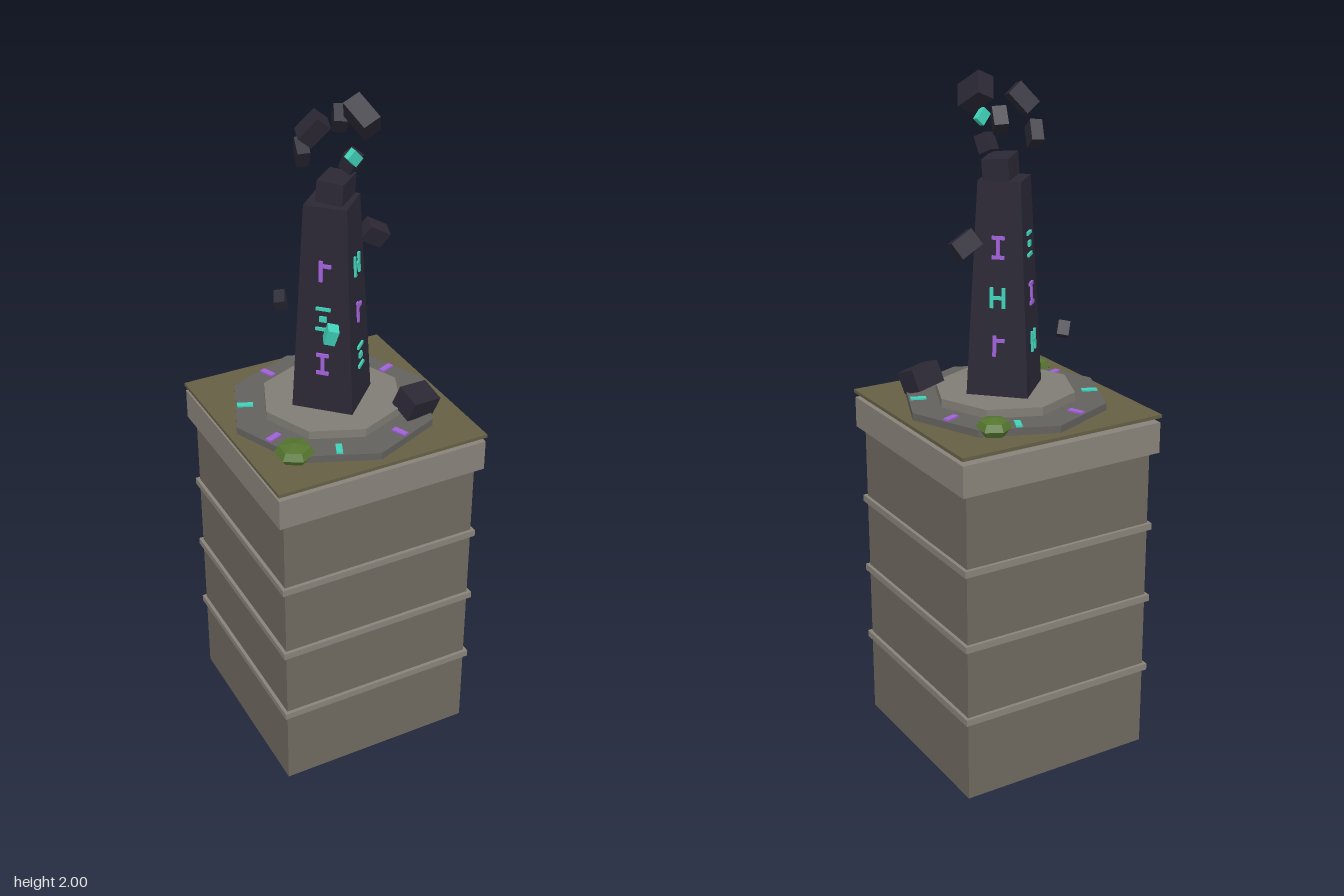
import * as THREE from 'three';

const mat = (color) => new THREE.MeshStandardMaterial({ color, flatShading: true });
const M = {
  wall: mat(0x6e685f), trim: mat(0x88837a), moss: mat(0x655f45),
  step: mat(0x62615d), dais: mat(0x7f7d74), dark: mat(0x2b2835),
  teal: mat(0x40d0b8), purple: mat(0xa060d8), leaf: mat(0x55752f),
};

function add(parent, name, geometry, material, x = 0, y = 0, z = 0) {
  const mesh = new THREE.Mesh(geometry, material);
  mesh.name = name;
  mesh.position.set(x, y, z);
  parent.add(mesh);
  return mesh;
}
const box = (w, h, d) => new THREE.BoxGeometry(w, h, d);

// Each rune is a colour and a list of strokes: x, y, width, height
const RUNES = {
  H: ['teal', [[-0.017, 0, 0.01, 0.058], [0.017, 0, 0.01, 0.058], [0, 0, 0.034, 0.01]]],
  R: ['purple', [[-0.008, 0, 0.01, 0.06], [0.005, 0.016, 0.032, 0.01]]],
  E: ['teal', [[0, 0.03, 0.042, 0.009], [0, 0, 0.02, 0.016], [0, -0.03, 0.042, 0.009]]],
  I: ['purple', [[0, 0, 0.01, 0.055], [0, 0.027, 0.036, 0.01], [0, -0.027, 0.036, 0.01]]],
};

function makeRune(key) {
  const rune = new THREE.Group();
  rune.name = 'rune';
  const [color, strokes] = RUNES[key];
  for (const [x, y, w, h] of strokes) add(rune, 'runeStroke', box(w, h, 0.008), M[color], x, y, 0);
  return rune;
}

function makeObelisk() {
  const g = new THREE.Group();
  g.name = 'obelisk';
  const bottom = 1.105, height = 0.605, r0 = 0.125, r1 = 0.085;
  add(g, 'obeliskShaft', new THREE.CylinderGeometry(r1, r0, height, 4), M.dark, 0, bottom + height / 2, 0);
  const tilt = Math.atan((r0 - r1) * Math.SQRT1_2 / height);

  // Three runes down each slanted face, shifted by one from face to face
  const order = ['H', 'R', 'E', 'I'];
  for (let k = 0; k < 4; k++) {
    const face = new THREE.Group();
    face.name = 'runeFace';
    face.rotation.y = Math.PI / 4 - k * Math.PI / 2;
    [1.53, 1.39, 1.253].forEach((y, i) => {
      const rune = makeRune(order[(k + i) % 4]);
      const r = r0 + (r1 - r0) * (y - bottom) / height;
      rune.position.set(0, y, r * Math.SQRT1_2 + 0.002);
      rune.rotation.x = -tilt;
      face.add(rune);
    });
    g.add(face);
  }
  return g;
}

// Low six-sided shrub
function makeShrub(r, x, z) {
  const profile = [[0, 1.06], [0.75, 1.062], [1, 1.08], [0.78, 1.1], [0, 1.11]]
    .map(([k, y]) => new THREE.Vector2(k * r, y));
  const shrub = new THREE.Mesh(new THREE.LatheGeometry(profile, 6), M.leaf);
  shrub.name = 'shrub';
  shrub.position.set(x, 0, z);
  return shrub;
}

export function createModel() {
  const model = new THREE.Group();

  // Square pedestal with bands and a cap
  add(model, 'pedestal', box(0.6, 0.95, 0.6), M.wall, 0, 0.475, 0);
  for (const y of [0.255, 0.485, 0.715]) add(model, 'band', box(0.62, 0.02, 0.62), M.trim, 0, y, 0);
  add(model, 'cap', box(0.64, 0.092, 0.64), M.trim, 0, 0.991, 0);
  add(model, 'mossPlate', box(0.645, 0.01, 0.645), M.moss, 0, 1.056, 0);

  // Octagonal steps
  add(model, 'lowerStep', new THREE.CylinderGeometry(0.298, 0.298, 0.024, 8), M.step, 0, 1.07, 0);
  add(model, 'upperStep', new THREE.CylinderGeometry(0.206, 0.206, 0.028, 8), M.dais, 0, 1.093, 0);

  // Radial inlays on the lower step
  for (let i = 0; i < 8; i++) {
    const a = (i + 0.5) * Math.PI / 4;
    const inlay = add(model, 'inlay', box(0.018, 0.008, 0.045), i % 2 ? M.teal : M.purple,
      0.248 * Math.sin(a), 1.083, 0.248 * Math.cos(a));
    inlay.rotation.y = a;
  }

  model.add(makeObelisk());
  model.add(makeShrub(0.051, 0.16, -0.21), makeShrub(0.057, -0.207, 0.183));

  // Broken tip, floating fragments and glowing chips: position, size, rotation
  const pieces = [
    ['brokenTip', 'dark', [0.012, 1.742, 0], [0.105, 0.06, 0.075], [0.08, 0.75, -0.1]],
    ['fallenBlock', 'dark', [0.185, 1.122, 0.16], [0.095, 0.065, 0.075], [0.35, 0.15, -0.2]],
    ['fragment', 'dark', [-0.057, 1.325, -0.212], [0.032, 0.04, 0.045], [0.5, -0.4, 0.4]],
    ['fragment', 'dark', [0.078, 1.885, -0.105], [0.038, 0.055, 0.055], [0.7, -0.35, 0.2]],
    ['fragment', 'dark', [0.16, 1.555, -0.06], [0.07, 0.052, 0.045], [0.3, -0.2, -0.5]],
    ['fragment', 'dark', [0.066, 1.94, 0.04], [0.052, 0.07, 0.09], [0.55, 0.25, 0.35]],
    ['fragment', 'dark', [-0.058, 1.918, 0.005], [0.048, 0.075, 0.05], [0.25, -0.25, -0.65]],
    ['fragment', 'dark', [-0.058, 1.832, -0.06], [0.034, 0.06, 0.055], [0.6, -0.2, 0.2]],
    ['fragment', 'dark', [0.055, 1.808, 0.003], [0.042, 0.05, 0.04], [0.5, 0.5, -0.1]],
    ['chip', 'teal', [0.01, 1.862, 0.102], [0.03, 0.04, 0.018], [0.1, 0.15, 0.75]],
    ['chip', 'teal', [-0.112, 1.436, 0.214], [0.03, 0.045, 0.035], [0.2, -0.4, -0.2]],
  ];
  for (const [name, color, p, s, r] of pieces) add(model, name, box(...s), M[color], ...p).rotation.set(...r);

  return model;
}
